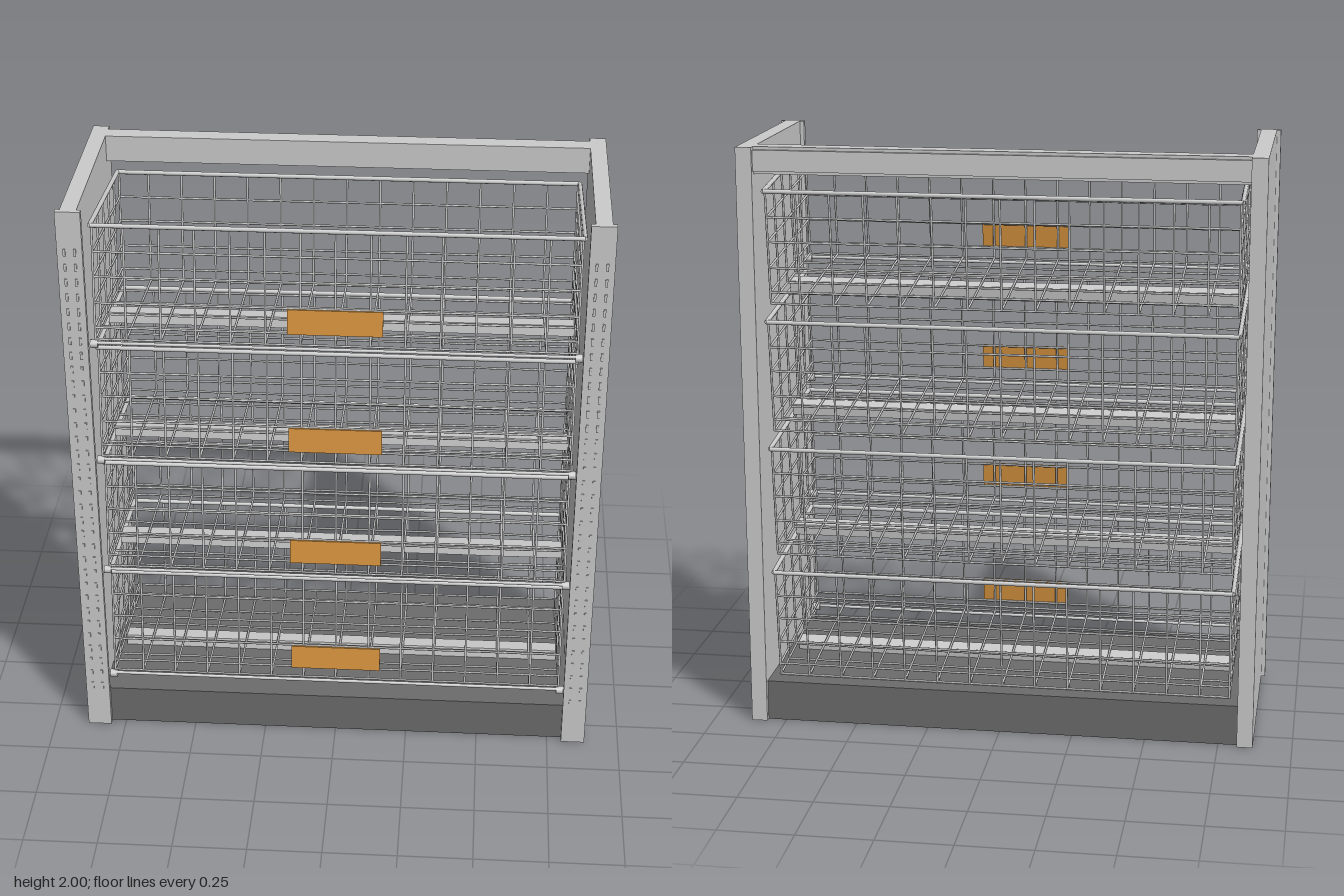
import * as THREE from 'three';
import { mergeGeometries } from 'three/addons/utils/BufferGeometryUtils.js';

const grey = new THREE.MeshStandardMaterial({ color: 0xcccccc });
const darkGrey = new THREE.MeshStandardMaterial({ color: 0x6c6c6c });
const orange = new THREE.MeshStandardMaterial({ color: 0xd8943f });

// Box given by its lower and upper limits
function boxGeo(x0, x1, y0, y1, z0, z1) {
  return new THREE.BoxGeometry(x1 - x0, y1 - y0, z1 - z0)
    .translate((x0 + x1) / 2, (y0 + y1) / 2, (z0 + z1) / 2);
}

// Straight round wire between two points
function wire(a, b, r, sides = 6) {
  const from = new THREE.Vector3(...a);
  const dir = new THREE.Vector3(...b).sub(from);
  const turn = new THREE.Quaternion().setFromUnitVectors(
    new THREE.Vector3(0, 1, 0), dir.clone().normalize());
  return new THREE.CylinderGeometry(r, r, dir.length(), sides)
    .applyQuaternion(turn)
    .translate(from.x + dir.x / 2, from.y + dir.y / 2, from.z + dir.z / 2);
}

function add(parent, name, geometry, material = grey) {
  const mesh = new THREE.Mesh(geometry, material);
  mesh.name = name;
  parent.add(mesh);
  return mesh;
}

// Wire basket; origin at the middle of its lower front edge
function createBasket() {
  const basket = new THREE.Group();
  const W = 0.782, D = 0.58, H = 0.388, R = 0.004;
  const heights = [0.04, 0.125, 0.215, 0.3];
  const depths = [0, 1, 2, 3, 4, 5].map(i => -D * i / 5);
  const columns = [-W, W];
  for (let i = -6; i <= 6; i++) columns.push(i * 0.1135);

  // Floor, front and back follow the same columns
  const floor = [], front = [], back = [], sides = [], rim = [];
  for (const x of columns) {
    floor.push(wire([x, 0, 0], [x, 0, -D], R));
    front.push(wire([x, 0, 0], [x, H, 0], R));
    back.push(wire([x, 0, -D], [x, H, -D], R));
  }
  for (const z of depths) {
    floor.push(wire([-W, 0, z], [W, 0, z], R));
    for (const x of [-W, W]) sides.push(wire([x, 0, z], [x, H, z], R));
  }
  for (const y of heights) {
    front.push(wire([-W, y, 0], [W, y, 0], R));
    back.push(wire([-W, y, -D], [W, y, -D], R));
    for (const x of [-W, W]) sides.push(wire([x, y, 0], [x, y, -D], R));
  }

  // Heavier rods round the top
  const r = 0.008, X = W + 0.006;
  for (const z of [0, -D]) rim.push(wire([-X, H, z], [X, H, z], r, 8));
  for (const x of [-X, X]) rim.push(wire([x, H, 0], [x, H, -D], r, 8));

  add(basket, 'basketFloor', mergeGeometries(floor));
  add(basket, 'basketFront', mergeGeometries(front));
  add(basket, 'basketBack', mergeGeometries(back));
  add(basket, 'basketSides', mergeGeometries(sides));
  add(basket, 'basketRim', mergeGeometries(rim));

  // Lower front rod with end knobs
  const knobs = [-1, 1].map(s =>
    wire([s * 0.775, -0.018, -0.004], [s * 0.8, -0.018, -0.004], 0.014, 12));
  add(basket, 'frontRod', mergeGeometries(
    [wire([-0.79, -0.014, -0.002], [0.79, -0.014, -0.002], 0.006, 8), ...knobs]));

  // Support bar under the floor, and the tag on the front
  add(basket, 'supportBar', boxGeo(-0.78, 0.78, -0.042, -0.004, -0.32, -0.26));
  add(basket, 'priceTag', boxGeo(-0.155, 0.155, 0.04, 0.125, 0.006, 0.013), orange);
  return basket;
}

export function createModel() {
  const model = new THREE.Group();
  model.name = 'basketShelf';

  // Side walls with slotted front uprights
  for (const s of [-1, 1]) {
    const side = new THREE.Group();
    side.name = s > 0 ? 'leftSide' : 'rightSide';
    const mid = s * 0.841;
    add(side, 'sidePanel', boxGeo(mid - 0.027, mid + 0.027, 0, 2, -0.354, 0.332));
    add(side, 'frontUpright', boxGeo(mid - 0.041, mid + 0.041, 0, 2, 0.33, 0.35));
    const slots = [];
    for (let i = 0; i <= 32; i++) {
      const y = 0.17 + i * 0.0528;
      for (const dx of [-0.017, 0.017])
        slots.push(boxGeo(mid + dx - 0.004, mid + dx + 0.004, y - 0.013, y + 0.013, 0.349, 0.354));
    }
    add(side, 'uprightSlots', mergeGeometries(slots));
    model.add(side);
  }

  // Plinth and upper back rail
  add(model, 'plinth', boxGeo(-0.816, 0.816, 0, 0.14, -0.335, 0.325), darkGrey);
  add(model, 'backRail', boxGeo(-0.816, 0.816, 1.91, 2, -0.328, -0.266));
  add(model, 'backRailLip', boxGeo(-0.816, 0.816, 1.92, 1.99, -0.34, -0.327));

  // Four tilted baskets
  for (let i = 0; i < 4; i++) {
    const basket = createBasket();
    basket.name = 'basket' + (i + 1);
    basket.position.set(0, 0.211 + i * 0.44, 0.308);
    basket.rotation.x = -0.115;
    model.add(basket);
  }
  return model;
}
